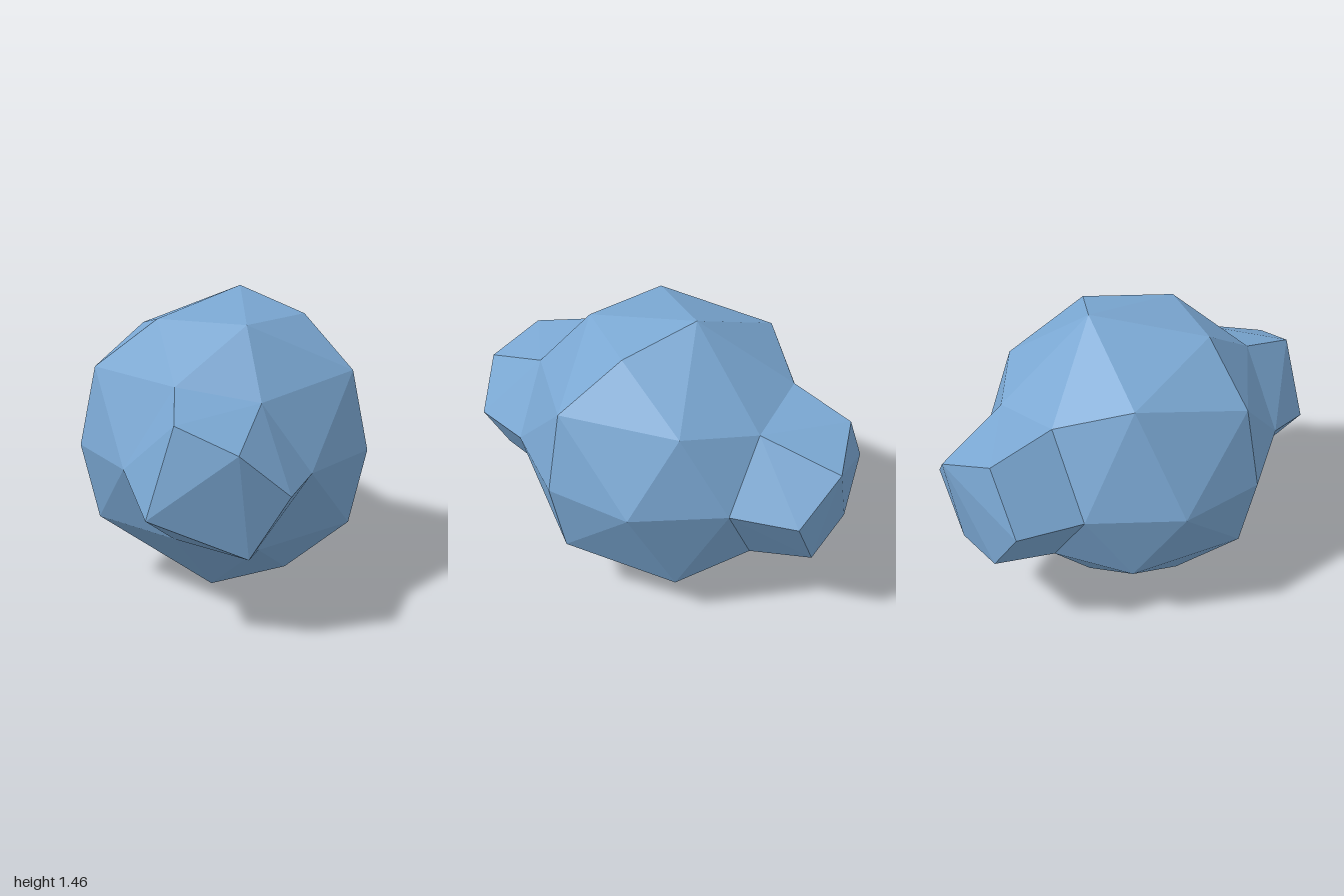
import * as THREE from 'three';
import { ConvexGeometry } from 'three/addons/geometries/ConvexGeometry.js';

// Six-sided collar where each stub leaves the body (front side, z mirrored for the back)
const collar = [
  [0.43, 0, 0.6], [0.2, 0.33, 0.62], [-0.19, 0.39, 0.595],
  [-0.43, 0, 0.6], [-0.2, -0.325, 0.62], [0.19, -0.38, 0.595],
];

// Faceted belt of the body between the two collars
const belt = [
  [0.06, 0.73, -0.2], [-0.06, -0.73, 0.2],
  [0.12, 0.63, 0.36], [-0.12, -0.62, -0.36],
  [0.385, 0.625, 0], [-0.385, -0.62, 0],
  [-0.31, 0.63, 0.225], [0.31, -0.62, 0.215],
  [0.62, 0.39, 0.2], [-0.62, 0.39, 0.2],
  [0.62, -0.38, 0.2], [-0.62, -0.38, 0.2],
  [0.7, 0, 0.22], [0.7, 0, -0.22], [-0.7, 0, 0.22], [-0.7, 0, -0.22],
  [0.5, 0.39, -0.375], [-0.5, -0.38, -0.375],
  [-0.455, 0.51, -0.33], [0.455, -0.51, -0.33],
];

// Outer end of the stubs: four shared corners, the rest differs per side
const tip = [[-0.16, 0.3, 0.91], [0.12, 0.2, 1], [0.34, -0.005, 0.91], [0.16, -0.3, 0.91]];
const frontTip = [...tip, [-0.285, -0.12, 0.94]];
const backTip = [...tip, [-0.34, 0, 0.91], [-0.16, -0.25, 0.93]];

const mirrorZ = (points) => points.map(([x, y, z]) => [x, y, -z]);

export function createModel() {
  const group = new THREE.Group();
  group.name = 'facetedRock';

  const blue = new THREE.MeshStandardMaterial({ color: 0x7aa7d2, flatShading: true });
  blue.name = 'softBlue';

  const addHull = (name, points) => {
    const geometry = new ConvexGeometry(points.map((p) => new THREE.Vector3(...p)));
    const mesh = new THREE.Mesh(geometry, blue);
    mesh.name = name;
    mesh.position.y = 0.73;
    group.add(mesh);
  };

  addHull('body', [...collar, ...mirrorZ(collar), ...belt]);
  addHull('frontStub', [...collar, ...frontTip]);
  addHull('backStub', mirrorZ([...collar, ...backTip]));

  return group;
}
